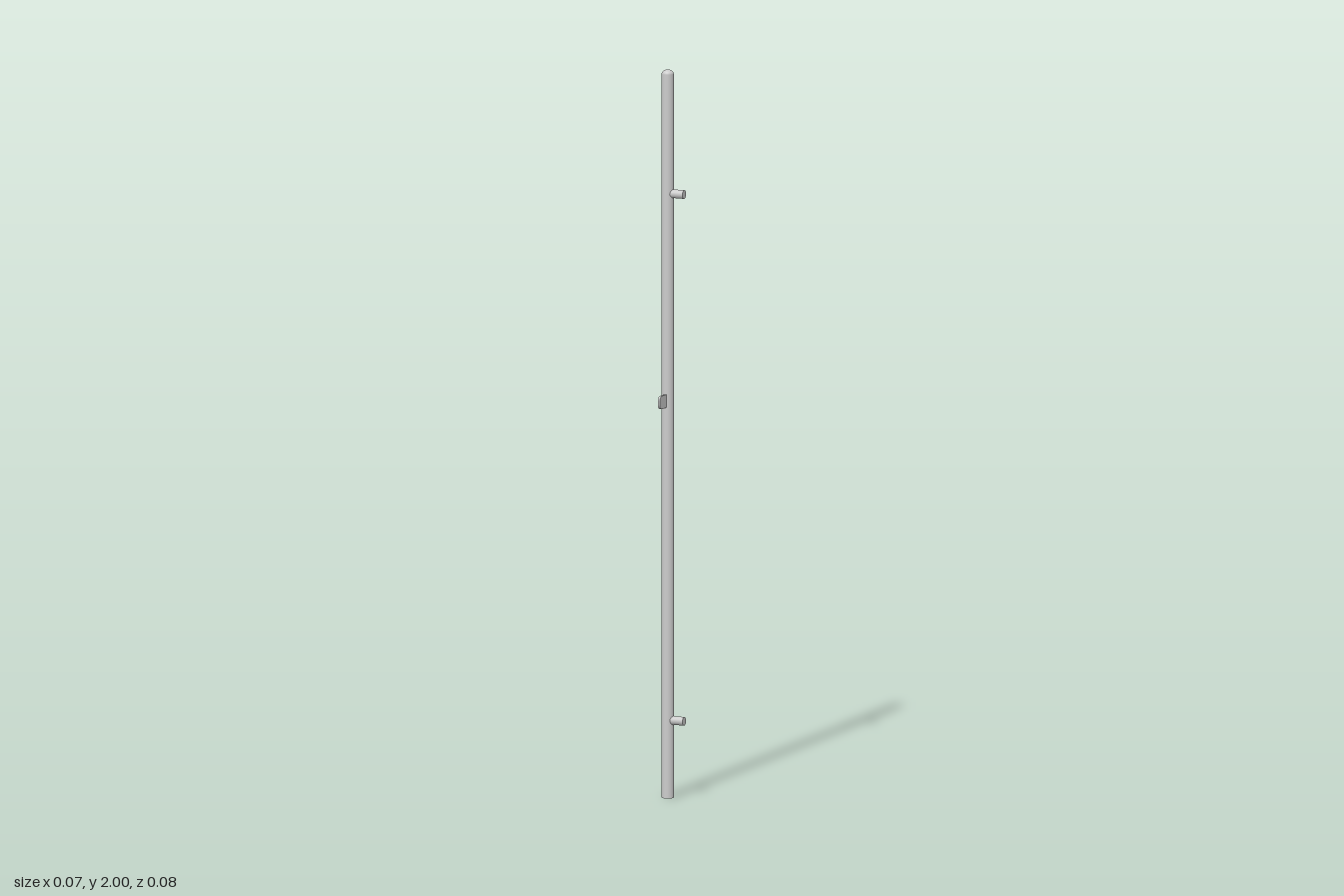
import * as THREE from 'three';

export function createModel() {
  const group = new THREE.Group();
  const material = new THREE.MeshStandardMaterial({ color: 0xcccccc });
  const poleX = -0.0165, poleZ = -0.021, radius = 0.0165;

  const add = (name, geometry, x, y, z) => {
    const mesh = new THREE.Mesh(geometry, material);
    mesh.name = name;
    mesh.position.set(x, y, z);
    group.add(mesh);
    return mesh;
  };

  // Round pole: straight shaft with a flat foot
  const domeHeight = 0.012;
  const shaftHeight = 2 - domeHeight;
  add('pole', new THREE.CylinderGeometry(radius, radius, shaftHeight, 32), poleX, shaftHeight / 2, poleZ);

  // Low domed cap on top of the pole
  const cap = add('domedCap', new THREE.SphereGeometry(radius, 32, 10, 0, Math.PI * 2, 0, Math.PI / 2), poleX, shaftHeight, poleZ);
  cap.scale.y = domeHeight / radius;

  // Two mounting pegs on the left side
  const pegLength = 0.033 - poleX;
  for (const [name, y] of [['lowerPeg', 0.213], ['upperPeg', 1.66]]) {
    const peg = add(name, new THREE.CylinderGeometry(0.0118, 0.0118, pegLength, 24), poleX + pegLength / 2, y, poleZ);
    peg.rotation.z = Math.PI / 2;
  }

  // Thin tab on the front with rounded outer corners
  const length = 0.0375 - poleZ, half = 0.018, r = 0.013, thickness = 0.006;
  const shape = new THREE.Shape();
  shape.moveTo(0, -half);
  shape.lineTo(length - r, -half);
  shape.absarc(length - r, -half + r, r, -Math.PI / 2, 0);
  shape.absarc(length - r, half - r, r, 0, Math.PI / 2);
  shape.lineTo(0, half);
  const tabGeometry = new THREE.ExtrudeGeometry(shape, { depth: thickness, bevelEnabled: false, curveSegments: 8 });
  tabGeometry.translate(0, 0, -thickness / 2).rotateY(-Math.PI / 2);
  add('frontTab', tabGeometry, poleX + 0.001, 1.092, poleZ);

  return group;
}
